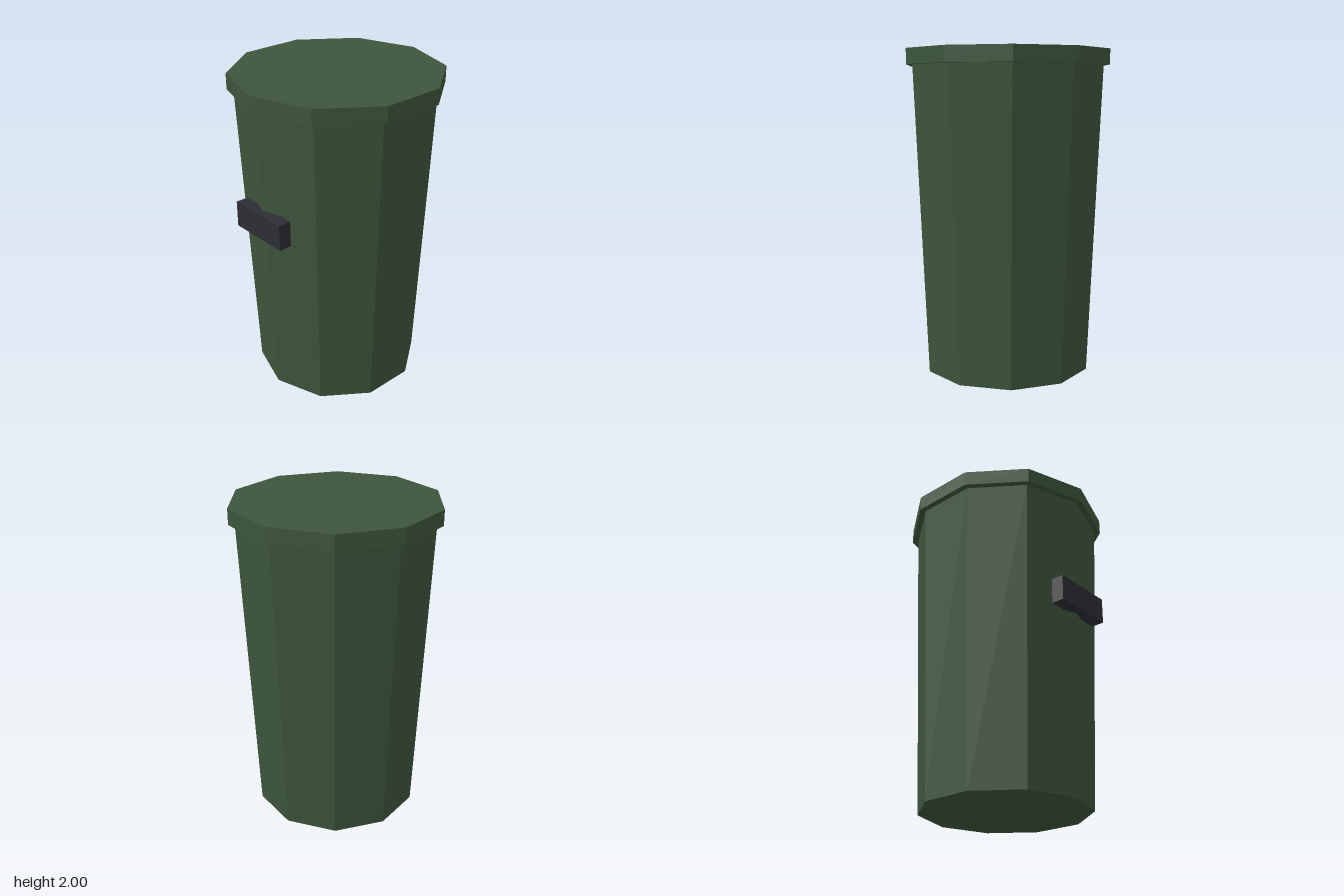
import * as THREE from 'three';

const SIDES = 10;

export function createModel() {
  const green = new THREE.MeshStandardMaterial({ color: 0x3d553b, flatShading: true });
  green.name = 'dark green';
  const charcoal = new THREE.MeshStandardMaterial({ color: 0x2d2d35, flatShading: true });
  charcoal.name = 'charcoal';

  const bin = new THREE.Group();
  bin.name = 'bin';

  const add = (name, geometry, material, y, z = 0) => {
    const mesh = new THREE.Mesh(geometry, material);
    mesh.name = name;
    mesh.position.set(0, y, z);
    bin.add(mesh);
  };

  // Tapered ten-sided body, one corner facing the front
  const bodyHeight = 1.905;
  add('body', new THREE.CylinderGeometry(0.602, 0.52, bodyHeight, SIDES), green, bodyHeight / 2);

  // Overhanging flat lid
  const lidHeight = 2 - bodyHeight;
  add('lid', new THREE.CylinderGeometry(0.64, 0.64, lidHeight, SIDES), green, 2 - lidHeight / 2);

  // Front handle, partly sunk into the body's front corner
  add('handle', new THREE.BoxGeometry(0.4, 0.16, 0.08), charcoal, 1.2, 0.58);

  return bin;
}
